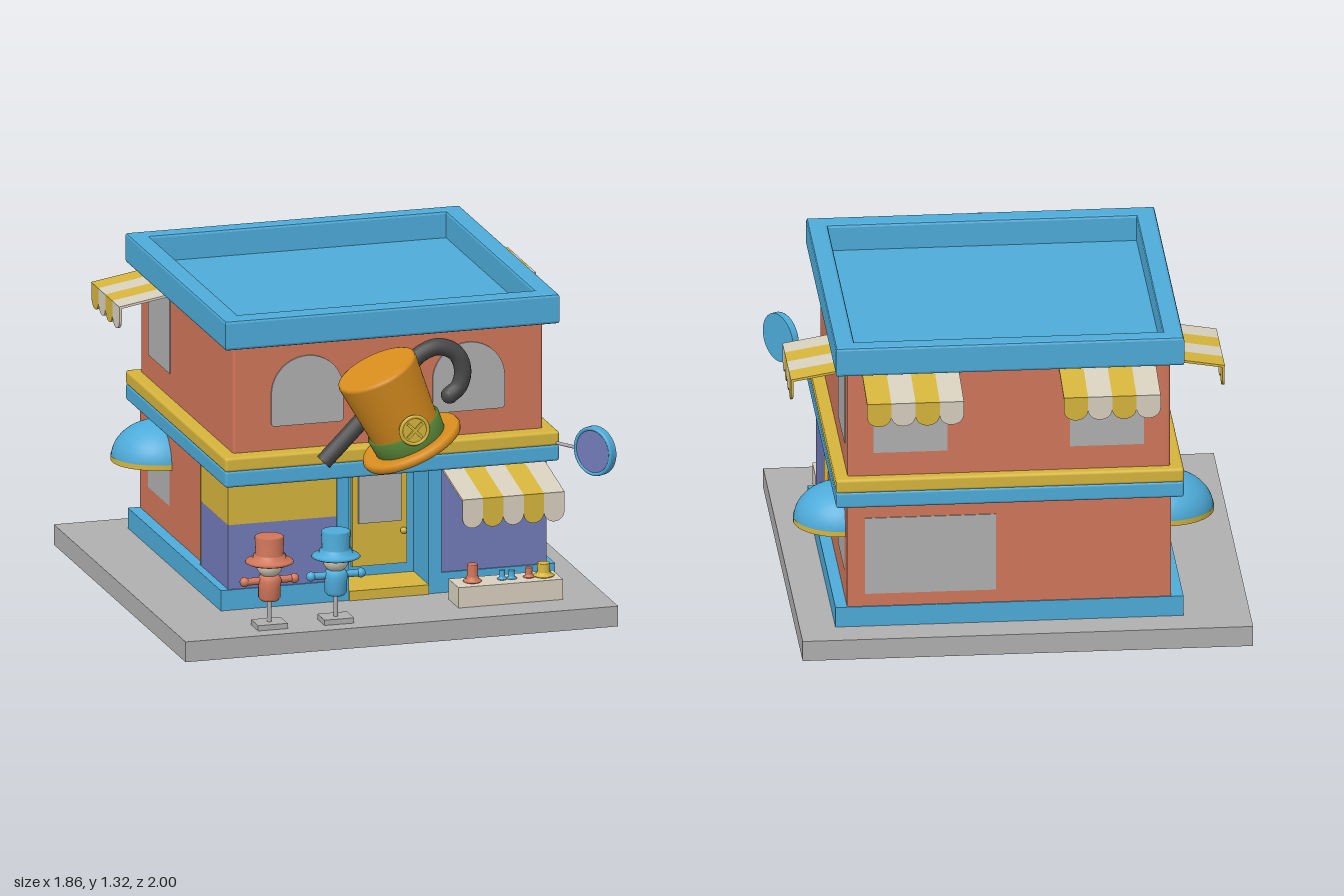
import * as THREE from 'three';
import { RoundedBoxGeometry } from 'three/addons/geometries/RoundedBoxGeometry.js';

const mat = (name, color, side = THREE.FrontSide) => {
  const m = new THREE.MeshStandardMaterial({ color, side });
  m.name = name;
  return m;
};

export function createModel() {
  const blue = mat('blue', 0x4dabd9, THREE.DoubleSide);
  const yellow = mat('yellow', 0xd6b53c, THREE.DoubleSide);
  const brick = mat('brick', 0xd0765a);
  const purple = mat('purple', 0x727ab8);
  const grey = mat('grey', 0xb0b0b0);
  const cream = mat('cream', 0xd8d0be);
  const orange = mat('orange', 0xd88d1e);
  const green = mat('green', 0x5c8c3a);
  const charcoal = mat('charcoal', 0x484848);
  const root = new THREE.Group();
  root.name = 'hatShop';

  const add = (parent, name, geo, m, x = 0, y = 0, z = 0) => {
    const mesh = new THREE.Mesh(geo, m);
    mesh.name = name;
    mesh.position.set(x, y, z);
    parent.add(mesh);
    return mesh;
  };
  const group = (name, x = 0, y = 0, z = 0, ry = 0, parent = root) => {
    const g = new THREE.Group();
    g.name = name;
    g.position.set(x, y, z);
    g.rotation.y = ry;
    parent.add(g);
    return g;
  };
  // Box from its limits, rounded when r is given
  const box = (name, m, x0, x1, y0, y1, z0, z1, r = 0) => {
    const s = [x1 - x0, y1 - y0, z1 - z0];
    const geo = r ? new RoundedBoxGeometry(...s, 2, r) : new THREE.BoxGeometry(...s);
    return add(root, name, geo, m, (x0 + x1) / 2, (y0 + y1) / 2, (z0 + z1) / 2);
  };
  const lathe = (pts, seg = 32) => new THREE.LatheGeometry(pts.map(p => new THREE.Vector2(...p)), seg);
  const cyl = (r1, r2, h, seg = 24) => new THREE.CylinderGeometry(r1, r2, h, seg);
  const tube = (pts, r, seg = 40) => new THREE.TubeGeometry(
    new THREE.CatmullRomCurve3(pts.map(p => new THREE.Vector3(...p))), seg, r, 14);
  const LEFT = Math.PI / 2, RIGHT = -Math.PI / 2, BACK = Math.PI;
  const X0 = -0.607, X1 = 0.70, Z0 = -0.77, Z1 = 0.508;

  // Ground slab, plinth and walls
  box('pavement', grey, -0.93, 0.895, 0, 0.085, -0.915, 0.91);
  box('rearPlinth', blue, -0.66, 0.75, 0.085, 0.17, -0.775, 0.3);
  box('plinthLeftOfDoor', blue, -0.66, -0.12, 0.085, 0.17, 0.3, 0.512);
  box('plinthRightOfDoor', blue, 0.215, 0.75, 0.085, 0.17, 0.3, 0.512);
  box('lowerWall', brick, -0.61, 0.702, 0.17, 0.63, Z0, 0.13);
  box('upperWall', brick, X0, X1, 0.72, 1.2, Z0, Z1, 0.012);
  box('shopFrontLower', purple, -0.627, -0.17, 0.17, 0.44, 0.13, 0.505);
  box('shopFrontUpper', yellow, -0.627, -0.17, 0.44, 0.63, 0.13, 0.505);
  box('shopFrontRight', purple, 0.27, 0.716, 0.17, 0.63, 0.13, 0.505);
  box('cornerStrip', yellow, 0.70, 0.718, 0.17, 0.62, 0.122, 0.13);
  box('cornerStrip', yellow, -0.629, -0.60, 0.17, 0.62, 0.122, 0.13);

  // Recessed entrance
  box('doorColumn', blue, -0.17, -0.12, 0.17, 0.63, 0.2, 0.512);
  box('doorColumn', blue, 0.215, 0.27, 0.17, 0.63, 0.2, 0.512);
  box('doorSurround', blue, -0.12, 0.215, 0.12, 0.63, 0.12, 0.31);
  box('door', yellow, -0.05, 0.18, 0.17, 0.61, 0.31, 0.33);
  box('doorWindow', grey, -0.025, 0.155, 0.35, 0.59, 0.33, 0.337);
  add(root, 'doorKnob', new THREE.SphereGeometry(0.014, 14, 10), yellow, 0.163, 0.31, 0.342);
  box('doorStep', yellow, -0.12, 0.215, 0.085, 0.125, 0.3, 0.52);

  // Cornice between floors
  box('corniceLower', blue, -0.66, 0.75, 0.615, 0.685, -0.81, 0.575, 0.012);
  box('corniceUpper', yellow, -0.66, 0.75, 0.68, 0.74, -0.81, 0.575, 0.012);

  // Roof parapet with a sunken floor
  const rect = (P, x0, x1, y0, y1) => {
    const p = new P();
    p.moveTo(x0, y0); p.lineTo(x1, y0); p.lineTo(x1, y1); p.lineTo(x0, y1); p.closePath();
    return p;
  };
  const ring = rect(THREE.Shape, -0.66, 0.75, -0.575, 0.81);
  ring.holes.push(rect(THREE.Path, -0.58, 0.67, -0.485, 0.735));
  const parapet = new THREE.ExtrudeGeometry(ring, {
    depth: 0.101, bevelSize: 0.012, bevelThickness: 0.012, bevelOffset: -0.012, bevelSegments: 2 });
  add(root, 'roofParapet', parapet.rotateX(-Math.PI / 2), blue, 0, 1.202, 0);
  box('roofFloor', blue, -0.6, 0.69, 1.192, 1.204, -0.755, 0.505);

  // Windows: thin panes
  const pane = (x, y, z, ry, w, h) =>
    add(group('window', x, y, z, ry), 'pane', new THREE.BoxGeometry(w, h, 0.008), grey);
  for (const [x, ry] of [[X1, LEFT], [X0, RIGHT]]) {
    pane(x, 1.01, -0.51, ry, 0.3, 0.34);
    pane(x, 0.4, -0.51, ry, 0.295, 0.23);
  }
  pane(-0.35, 1.01, Z0, BACK, 0.3, 0.34);
  pane(0.445, 1.01, Z0, BACK, 0.3, 0.34);
  pane(0.365, 0.39, Z0, BACK, 0.53, 0.33);
  for (const x of [-0.295, 0.385]) {
    const s = new THREE.Shape();
    s.moveTo(-0.135, 0); s.lineTo(0.135, 0);
    s.quadraticCurveTo(0.152, 0, 0.152, 0.017);
    s.lineTo(0.152, 0.135);
    s.absellipse(0, 0.135, 0.152, 0.152, 0, Math.PI, false);
    s.lineTo(-0.152, 0.017);
    s.quadraticCurveTo(-0.152, 0, -0.135, 0);
    const g = new THREE.ExtrudeGeometry(s, { depth: 0.008, bevelEnabled: false, curveSegments: 20 });
    add(root, 'archedWindow', g, grey, x, 0.84, Z1 - 0.001);
  }

  // Striped awnings: sloped strips with scalloped valances
  const awning = (x, y, z, ry, width, n, reach, fall, drop, colours) => {
    const g = group('awning', x, y, z, ry), w = width / n, t = 0.01;
    for (let i = 0; i < n; i++) {
      const cx = (i + 0.5) * w - width / 2, m = colours[i % 2];
      const slope = add(g, 'awningStripe', new THREE.BoxGeometry(w, t, Math.hypot(reach, fall)), m,
        cx, -fall / 2 - t / 2, reach / 2);
      slope.rotation.x = Math.atan2(fall, reach);
      const s = new THREE.Shape();
      s.moveTo(w / 2, 0); s.lineTo(-w / 2, 0); s.lineTo(-w / 2, -drop + 0.043);
      s.absellipse(0, -drop + 0.043, w / 2, 0.043, Math.PI, 2 * Math.PI, false);
      s.closePath();
      add(g, 'awningScallop', new THREE.ExtrudeGeometry(s, { depth: t, bevelEnabled: false }), m,
        cx, -fall, reach - t);
    }
  };
  awning(0.487, 0.612, 0.505, 0, 0.43, 5, 0.295, 0.06, 0.122, [cream, yellow]);
  awning(X1, 1.185, -0.522, LEFT, 0.388, 4, 0.225, 0.038, 0.1, [cream, yellow]);
  awning(X0, 1.185, -0.522, RIGHT, 0.388, 4, 0.225, 0.038, 0.1, [yellow, cream]);
  for (const x of [-0.352, 0.445])
    awning(x, 1.185, Z0, BACK, 0.392, 4, 0.23, 0.038, 0.1, [yellow, cream]);

  // Domed canopies on the sides
  for (const [x, ry] of [[X1, LEFT], [X0, RIGHT]]) {
    const g = group('domeCanopy', x, 0.455, -0.512, ry);
    const dome = new THREE.SphereGeometry(1, 28, 12, 0, Math.PI, 0, Math.PI / 2);
    add(g, 'dome', dome.scale(0.183, 0.152, 0.197), blue);
    const trim = new THREE.CylinderGeometry(1, 1, 0.022, 28, 1, true, -Math.PI / 2, Math.PI);
    add(g, 'domeTrim', trim.scale(0.185, 1, 0.199), yellow);
  }

  // Giant tilted top hat
  const hat = group('giantHat', 0.07, 0.785, 0.785);
  hat.rotation.z = 0.433;
  add(hat, 'brim', lathe([[0.135, 0.012], [0.19, 0], [0.208, 0.004], [0.214, 0.02], [0.208, 0.036],
    [0.19, 0.038], [0.135, 0.034], [0.135, 0.012]], 48), orange);
  add(hat, 'crown', lathe([[0, 0.03], [0.135, 0.03], [0.14, 0.03], [0.148, 0.15], [0.17, 0.362],
    [0.167, 0.374], [0.158, 0.378], [0, 0.378]], 48), orange);
  add(hat, 'hatBand', lathe([[0.14, 0.034], [0.15, 0.034], [0.156, 0.105], [0.14, 0.105]], 48), green);
  const button = group('button', 0.008, 0.128, 0.157, 0, hat);
  add(button, 'buttonDisc', cyl(0.055, 0.06, 0.02, 32).rotateX(Math.PI / 2), yellow);
  add(button, 'buttonRim', new THREE.TorusGeometry(0.057, 0.008, 8, 32), yellow, 0, 0, 0.008);
  for (const a of [0.35, 0.35 + Math.PI / 2])
    add(button, 'buttonStitch', new THREE.BoxGeometry(0.085, 0.012, 0.009), yellow, 0, 0, 0.014).rotation.z = a;

  // Cane behind the hat
  const cane = [[-0.255, 0.705], [-0.13, 0.83], [0, 0.965], [0.09, 1.065], [0.155, 1.125], [0.23, 1.147],
    [0.3, 1.115], [0.33, 1.045], [0.315, 0.975], [0.275, 0.94]];
  add(root, 'cane', tube(cane.map(([x, y]) => [x, y, 0.61]), 0.035, 60), charcoal);
  const tip = add(root, 'caneTip', cyl(0.035, 0.035, 0.008), charcoal, -0.255, 0.705, 0.61);
  tip.rotation.z = -Math.PI / 4;
  add(root, 'caneEnd', new THREE.SphereGeometry(0.035, 16, 12), charcoal, 0.275, 0.94, 0.61);

  // Round hanging sign on a bracket
  const sign = group('roundSign', 0.836, 0.708, 0.787, -1.02);
  add(sign, 'signDisc', cyl(0.102, 0.102, 0.026, 40).rotateX(Math.PI / 2), blue);
  add(sign, 'signRim', new THREE.TorusGeometry(0.094, 0.008, 8, 40), blue, 0, 0, 0.013);
  add(sign, 'signFace', cyl(0.087, 0.087, 0.006, 40).rotateX(Math.PI / 2), purple, 0, 0, 0.014);
  add(root, 'signBracket', tube([[0.735, 0.69, 0.56], [0.765, 0.694, 0.63], [0.8, 0.7, 0.71]], 0.007, 8), grey);

  // Small hat, unit = brim radius
  const smallHat = (parent, m, x, y, z, r, h) => {
    add(parent, 'smallHat', lathe([[0, 0], [r * 0.88, 0], [r, h * 0.05], [r * 0.93, h * 0.12], [r * 0.68, h * 0.16],
      [r * 0.66, h * 0.32], [r * 0.56, h * 0.34], [r * 0.6, h * 0.96], [r * 0.54, h], [0, h]], 28), m, x, y, z);
  };

  // Mannequins with hats
  for (const [x, m] of [[-0.54, brick], [-0.26, blue]]) {
    const g = group('mannequin', x, 0, 0.79);
    add(g, 'standFoot', new THREE.BoxGeometry(0.125, 0.022, 0.1), grey, 0, 0.096, 0);
    add(g, 'standPole', cyl(0.009, 0.009, 0.11, 12), grey, 0, 0.155, 0);
    add(g, 'body', lathe([[0, 0.195], [0.035, 0.197], [0.045, 0.21], [0.045, 0.25], [0.05, 0.28],
      [0.04, 0.3], [0.015, 0.308], [0, 0.308]], 24), m);
    add(g, 'arms', cyl(0.015, 0.015, 0.21, 14).rotateZ(Math.PI / 2), m, 0, 0.28, 0);
    for (const s of [-1, 1])
      add(g, 'hand', new THREE.SphereGeometry(0.02, 14, 10), m, s * 0.105, 0.28, 0);
    add(g, 'head', new THREE.SphereGeometry(0.055, 22, 16), cream, 0, 0.348, 0);
    smallHat(g, m, 0, 0.352, 0, 0.1, 0.115);
  }

  // Display bench with hats for sale
  box('displayBench', cream, 0.27, 0.71, 0.085, 0.17, 0.61, 0.75);
  const goods = [[0.35, brick, 0.038, 0.075], [0.475, blue, 0.02, 0.04], [0.515, blue, 0.022, 0.036],
    [0.588, brick, 0.024, 0.042], [0.65, yellow, 0.044, 0.056]];
  for (const [x, m, r, h] of goods) smallHat(root, m, x, 0.17, 0.68, r, h);

  return root;
}
